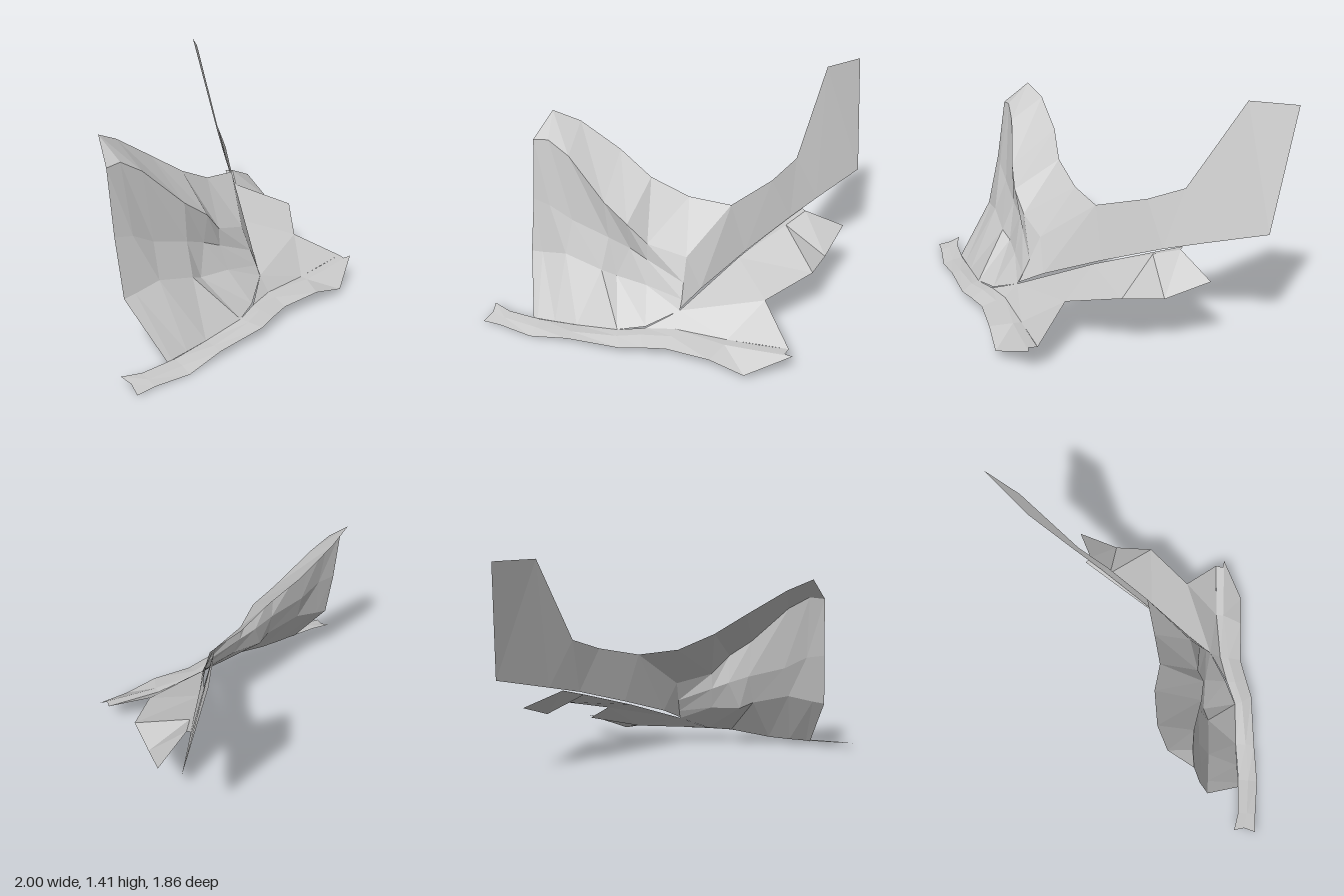
import * as THREE from 'three';

const cloth = new THREE.MeshStandardMaterial({ color: 0xc8c8c8, side: THREE.DoubleSide, flatShading: true });
cloth.name = 'pale grey cloth';

// one sheet of cloth from a list of triangles
function sheet(name, triangles) {
  const geometry = new THREE.BufferGeometry();
  geometry.setAttribute('position', new THREE.Float32BufferAttribute(triangles.flat(2), 3));
  geometry.computeVertexNormals();
  const mesh = new THREE.Mesh(geometry, cloth);
  mesh.name = name;
  return mesh;
}

// joins neighbouring rows of points, each row listed from right (-x) to left (+x)
function loft(name, rows) {
  const triangles = [];
  for (let r = 0; r + 1 < rows.length; r++) {
    const top = rows[r], low = rows[r + 1];
    for (let i = 0; i + 1 < top.length; i++) {
      triangles.push([top[i], low[i], low[i + 1]], [top[i], low[i + 1], top[i + 1]]);
    }
  }
  return sheet(name, triangles);
}

export function createModel() {
  const group = new THREE.Group();
  group.name = 'foldedCloth';

  // broad billowing sheet: upper rim, folded crest, hollow, swell, hem
  const rim = [[-0.82, 1.11, 0.41], [-0.76, 1.25, 0.25], [-0.6, 1.18, 0.19], [-0.34, 1.02, 0.17],
    [-0.12, 0.88, 0.2], [0.12, 0.77, 0.16], [0.38, 0.735, 0.105]];
  const crest = [[-0.82, 1.11, 0.41], [-0.72, 1.12, 0.4], [-0.58, 1.04, 0.41], [-0.32, 0.8, 0.47],
    [-0.16, 0.69, 0.49], [-0.04, 0.56, 0.46], [0.2, 0.49, 0.41]];
  const hollow = [[-0.82, 0.72, 0.47], [-0.7, 0.7, 0.48], [-0.55, 0.62, 0.47], [-0.3, 0.55, 0.47],
    [-0.16, 0.5, 0.46], [-0.04, 0.45, 0.47], [0.21, 0.35, 0.485]];
  const swell = [[-0.82, 0.37, 0.55], [-0.74, 0.38, 0.55], [-0.57, 0.41, 0.55], [-0.32, 0.35, 0.55],
    [-0.23, 0.31, 0.52], [-0.02, 0.3, 0.53], [0.22, 0.26, 0.535]];
  const hem = [[-0.7, 0.03, 0.79], [-0.67, 0.035, 0.79], [-0.55, 0.04, 0.78], [-0.4, 0.05, 0.77],
    [-0.12, 0.09, 0.76], [0.04, 0.11, 0.69], [0.22, 0.2, 0.57]];
  group.add(loft('upperFold', [rim, crest]));
  group.add(loft('frontPanel', [crest, hollow, swell, hem]));

  // upright tail sweeping back to the left
  group.add(loft('uprightTail', [
    [[0.2, 0.49, 0.41], [0.38, 0.735, 0.105], [0.56, 0.81, -0.16], [0.66, 0.89, -0.36],
      [0.74, 1.41, -0.69], [0.9, 1.405, -0.93]],
    [[0.22, 0.21, 0.56], [0.3, 0.285, 0.42], [0.48, 0.41, 0.1], [0.68, 0.53, -0.22],
      [0.8, 0.59, -0.42], [1, 0.685, -0.74]],
  ]));

  // lower tail with a notched end and a folded tip
  const root = [0.22, 0.2, 0.57], side = [0.45, 0.38, 0.14], fold = [0.67, 0.5, -0.16];
  const back = [0.72, 0.55, -0.33], tipIn = [0.76, 0.55, -0.3], tip = [1, 0.44, -0.39];
  const tipOut = [0.95, 0.345, -0.13], corner = [0.93, 0.375, 0.12], notch = [0.71, 0.29, 0.39];
  const end = [0.93, 0.15, 0.61], seam = [0.55, 0.11, 0.62], seamIn = [0.22, 0.115, 0.65];
  const seamStart = [0.04, 0.105, 0.7];
  group.add(sheet('lowerTail', [
    [seamStart, seamIn, root], [seamIn, seam, root], [root, seam, notch], [seam, end, notch],
    [root, notch, side], [side, notch, corner], [side, corner, fold], [side, fold, back],
  ]));
  group.add(sheet('tailTip', [
    [fold, corner, tipOut], [fold, tipOut, tipIn], [fold, tipIn, back], [tipIn, tipOut, tip],
  ]));

  // long narrow band along the bottom: back edge, ridge, front edge
  group.add(loft('bottomBand', [
    [[-1, 0.045, 0.76], [-0.88, 0.035, 0.79], [-0.65, 0.035, 0.79], [-0.4, 0.05, 0.77], [-0.12, 0.09, 0.76],
      seamStart, seamIn, seam, [0.75, 0.13, 0.615], end],
    [[-0.98, 0.025, 0.83], [-0.88, 0.025, 0.85], [-0.65, 0.025, 0.86], [-0.4, 0.05, 0.84], [-0.1, 0.085, 0.81],
      [0.04, 0.1, 0.76], [0.22, 0.105, 0.71], [0.55, 0.11, 0.67], [0.75, 0.13, 0.67], [0.92, 0.15, 0.66]],
    [[-1, 0.005, 0.91], [-0.88, 0.01, 0.91], [-0.65, 0, 0.925], [-0.4, 0.04, 0.9], [-0.05, 0.06, 0.88],
      [0.08, 0.07, 0.84], [0.22, 0.075, 0.8], [0.5, 0.085, 0.805], [0.72, 0.04, 0.81], [0.97, 0.155, 0.67]],
  ]));
  return group;
}
